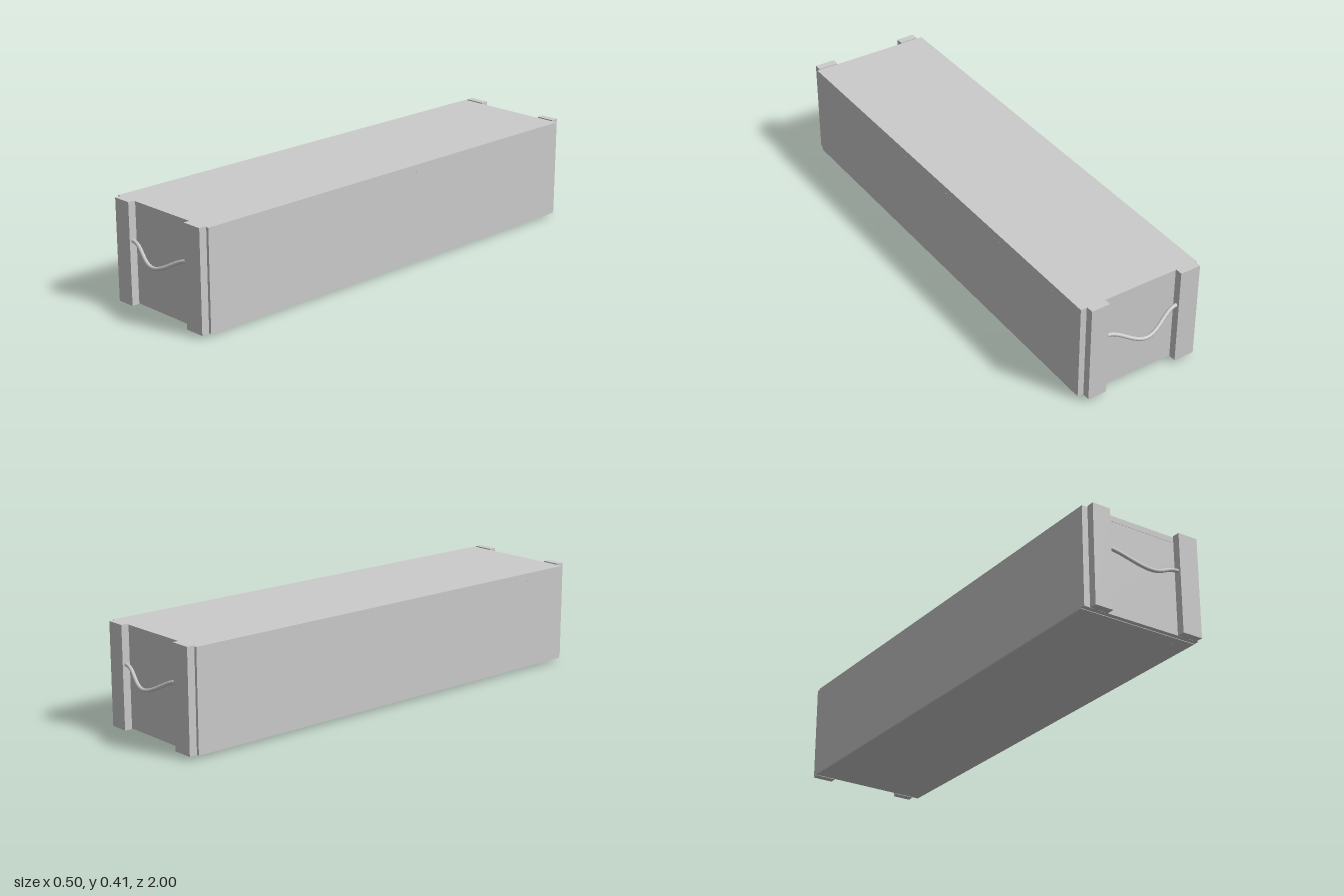
import * as THREE from 'three';

export function createModel() {
  const crate = new THREE.Group();
  crate.name = 'crate';
  const mat = new THREE.MeshStandardMaterial({ color: 0xcccccc, flatShading: true });
  const smooth = new THREE.MeshStandardMaterial({ color: 0xcccccc });

  const add = (parent, name, geometry, material = mat) => {
    const mesh = new THREE.Mesh(geometry, material);
    mesh.name = name;
    parent.add(mesh);
    return mesh;
  };
  // Box given by its lower and upper limits on each axis
  const box = (parent, name, [x0, x1], [y0, y1], [z0, z1]) =>
    add(parent, name, new THREE.BoxGeometry(x1 - x0, y1 - y0, z1 - z0))
      .position.set((x0 + x1) / 2, (y0 + y1) / 2, (z0 + z1) / 2);

  // Floor and lid boards
  box(crate, 'floor', [-0.25, 0.25], [0.012, 0.03], [-0.92, 0.92]);
  box(crate, 'lid', [-0.252, 0.252], [0.385, 0.408], [-0.94, 0.94]);

  // Long side boards
  for (const s of [-1, 1]) {
    const x = [s * 0.252, s * 0.23].sort((a, b) => a - b);
    box(crate, s > 0 ? 'leftSide' : 'rightSide', x, [0.014, 0.385], [-0.94, 0.94]);
  }

  // Rope handle sagging down and outward between the posts
  const points = [];
  for (let i = 0; i <= 12; i++) {
    const t = i / 12;
    const sag = (1 - Math.cos(2 * Math.PI * t)) / 2;
    points.push(new THREE.Vector3(-0.156 + 0.318 * t, 0.263 - 0.056 * sag, 0.957 + 0.0355 * sag));
  }
  const rope = new THREE.CatmullRomCurve3(points);

  // Each end: board, two posts and a handle; the back is the front turned half round
  for (const [name, turn] of [['frontEnd', 0], ['backEnd', Math.PI]]) {
    const end = new THREE.Group();
    end.name = name;
    box(end, 'endBoard', [-0.23, 0.23], [0.014, 0.385], [0.918, 0.939]);
    box(end, 'post', [-0.228, -0.152], [0.013, 0.412], [0.941, 0.972]);
    box(end, 'post', [0.158, 0.242], [0.013, 0.412], [0.941, 0.972]);
    add(end, 'ropeHandle', new THREE.TubeGeometry(rope, 24, 0.0075, 8), smooth);
    end.rotation.y = turn;
    crate.add(end);
  }

  // Pairs of small nail heads along the top of each side
  const nail = new THREE.CylinderGeometry(0.003, 0.003, 0.004, 6).rotateZ(Math.PI / 2);
  for (const s of [-1, 1]) {
    for (let i = 0; i < 6; i++) {
      for (const dz of [-0.017, 0.017]) {
        add(crate, 'nail', nail).position.set(s * 0.2505, 0.378, -s * (0.75 - 0.333 * i + dz));
      }
    }
  }

  // Nail tips under the floor
  for (const s of [-1, 1]) {
    add(crate, 'nailTip', new THREE.ConeGeometry(0.001, 0.016, 6).rotateX(Math.PI))
      .position.set(s * 0.18, 0.008, s * 0.88);
  }
  return crate;
}
